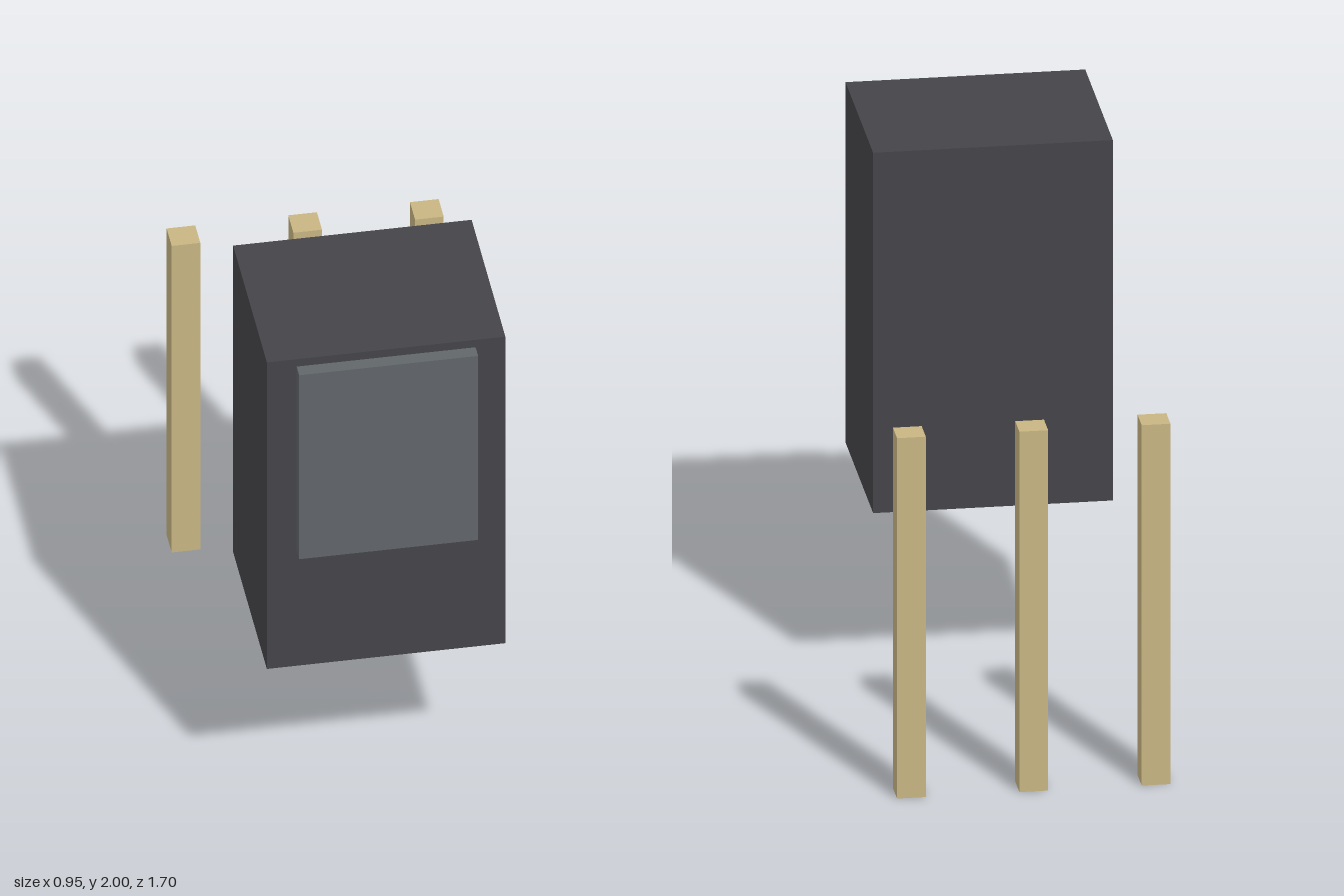
import * as THREE from 'three';

export function createModel() {
  const model = new THREE.Group();
  const material = (name, color) => {
    const m = new THREE.MeshStandardMaterial({ color });
    m.name = name;
    return m;
  };
  const charcoal = material('charcoal', 0x454449);
  const slate = material('slate grey', 0x61666a);
  const wood = material('pale wood', 0xc8b582);

  const addBox = (name, mat, [w, h, d], [x, y, z]) => {
    const mesh = new THREE.Mesh(new THREE.BoxGeometry(w, h, d), mat);
    mesh.name = name;
    mesh.position.set(x, y, z);
    model.add(mesh);
  };

  // Cabinet raised off the ground, with a raised panel on its front
  addBox('cabinet', charcoal, [0.833, 1.333, 0.667], [0, 1.3335, 0.467]);
  addBox('frontPanel', slate, [0.625, 0.8, 0.05], [0, 1.568, 0.825]);

  // Row of three posts at the back
  [['rightPost', -0.425], ['middlePost', 0], ['leftPost', 0.425]].forEach(([name, x]) =>
    addBox(name, wood, [0.1, 1.333, 0.1], [x, 0.6665, -0.8]));

  return model;
}
